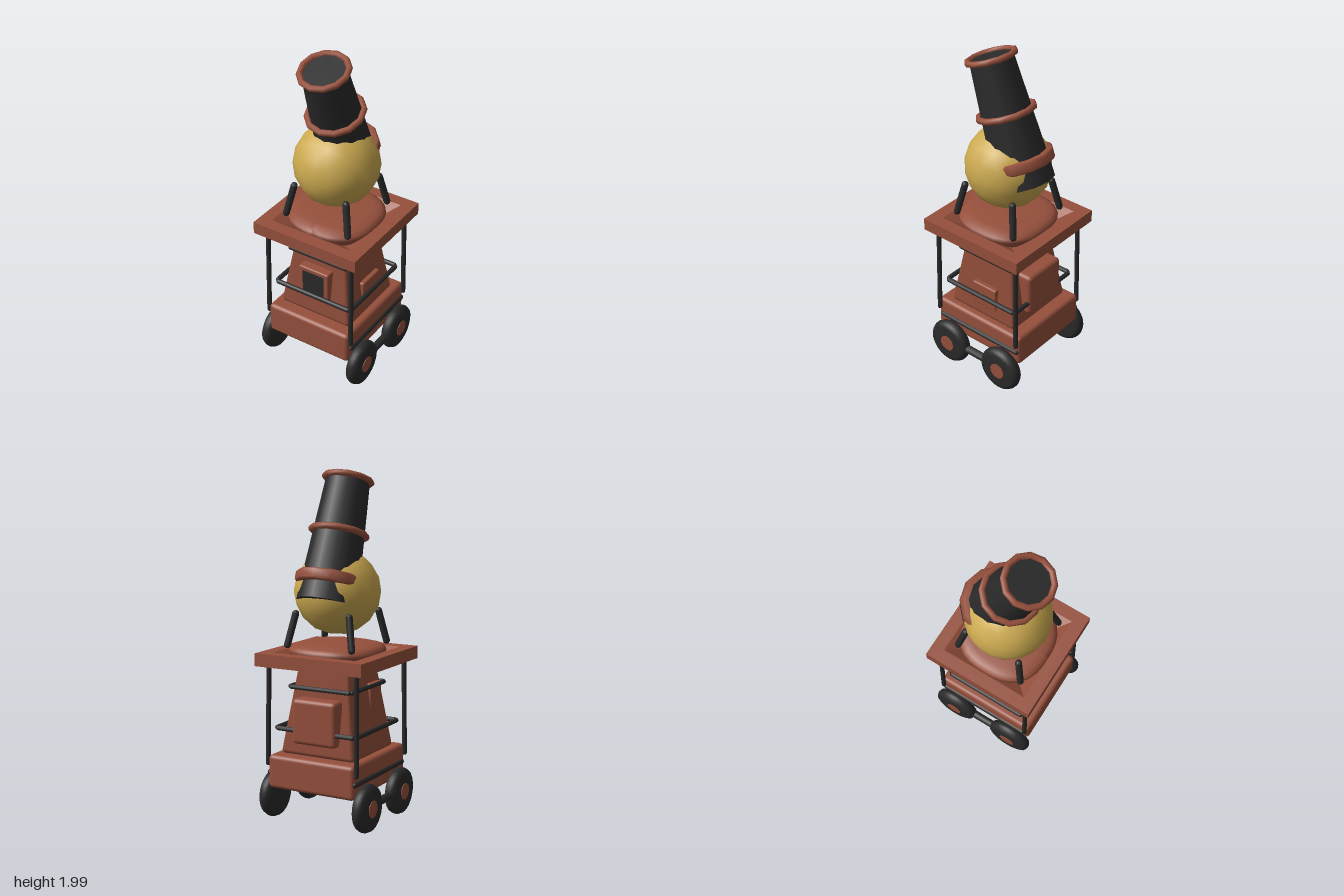
import * as THREE from 'three';
import { RoundedBoxGeometry } from 'three/addons/geometries/RoundedBoxGeometry.js';

const rust = new THREE.MeshStandardMaterial({ color: 0x96503c });
rust.name = 'rustRed';
const iron = new THREE.MeshStandardMaterial({ color: 0x2a2a2a });
iron.name = 'darkIron';
const brass = new THREE.MeshStandardMaterial({ color: 0xccaa50 });
brass.name = 'brass';

function add(parent, name, geometry, material, x = 0, y = 0, z = 0) {
  const mesh = new THREE.Mesh(geometry, material);
  mesh.name = name;
  mesh.position.set(x, y, z);
  parent.add(mesh);
  return mesh;
}

const roundedBox = (w, h, d, r) => new RoundedBoxGeometry(w, h, d, 3, r);

// Rounded rod between two points
function rod(parent, name, a, b, r) {
  const from = new THREE.Vector3(...a), to = new THREE.Vector3(...b);
  const dir = to.clone().sub(from);
  const mesh = add(parent, name, new THREE.CapsuleGeometry(r, dir.length() - 2 * r, 3, 10), iron);
  mesh.position.copy(from).add(to).multiplyScalar(0.5);
  mesh.quaternion.setFromUnitVectors(new THREE.Vector3(0, 1, 0), dir.normalize());
}

// Tower body: a rounded box narrowed towards the top
function towerGeometry() {
  const g = roundedBox(0.48, 0.54, 0.48, 0.025);
  const p = g.attributes.position;
  for (let i = 0; i < p.count; i++) {
    const k = 1 - 0.34 * (p.getY(i) / 0.54 + 0.5);
    p.setX(i, p.getX(i) * k);
    p.setZ(i, p.getZ(i) * k);
  }
  return g;
}

// Low pillow with a squarish outline
function pillowGeometry() {
  const profile = [[0.235, 0.93], [0.262, 0.975], [0.257, 0.995], [0.235, 1.01], [0.195, 1.02], [0.1, 1.024], [0, 1.025]];
  const g = new THREE.LatheGeometry(profile.map(([r, y]) => new THREE.Vector2(r, y)), 32);
  const p = g.attributes.position, n = 2.6;
  for (let i = 0; i < p.count; i++) {
    const x = p.getX(i), z = p.getZ(i), r = Math.hypot(x, z);
    if (r < 1e-6) continue;
    const k = Math.pow(Math.abs(x / r) ** n + Math.abs(z / r) ** n, -1 / n);
    p.setX(i, x * k);
    p.setZ(i, z * k);
  }
  g.computeVertexNormals();
  return g;
}

function addDeck(model) {
  // Square frame with an opening
  const h = 0.34, o = 0.265;
  const shape = new THREE.Shape([[-h, -h], [h, -h], [h, h], [-h, h]].map(([x, y]) => new THREE.Vector2(x, y)));
  shape.holes.push(new THREE.Path([[-o, -o], [-o, o], [o, o], [o, -o]].map(([x, y]) => new THREE.Vector2(x, y))));
  const frame = new THREE.ExtrudeGeometry(shape, { depth: 0.073, bevelEnabled: false });
  frame.rotateX(-Math.PI / 2);
  add(model, 'deckFrame', frame, rust, 0, 0.906, 0);
  add(model, 'deckFloor', new THREE.BoxGeometry(0.53, 0.012, 0.53), rust, 0, 0.912, 0);
  // Sloping recess walls, facing inward
  const s = Math.SQRT2;
  let walls = new THREE.CylinderGeometry(0.265 * s, 0.18 * s, 0.06, 4, 1, true);
  walls.rotateY(Math.PI / 4).scale(-1, 1, 1);
  walls = walls.toNonIndexed();
  walls.computeVertexNormals();
  add(model, 'recessWalls', walls, rust, 0, 0.949, 0);
  add(model, 'deckPillow', pillowGeometry(), rust);
}

function addWheel(model, side, z) {
  const wheel = new THREE.Group();
  wheel.name = 'wheel';
  const profile = [[0, -0.037], [0.105, -0.037], [0.128, -0.027], [0.137, -0.008], [0.137, 0.008], [0.128, 0.027], [0.105, 0.037], [0, 0.037]];
  add(wheel, 'tyre', new THREE.LatheGeometry(profile.map(([r, y]) => new THREE.Vector2(r, y)), 32), iron);
  add(wheel, 'hub', new THREE.CylinderGeometry(0.049, 0.049, 0.008, 20), rust, 0, 0.036, 0);
  wheel.rotation.z = -side * Math.PI / 2;
  wheel.position.set(side * 0.302, 0.14, z);
  model.add(wheel);
}

function addCannon(model) {
  const cannon = new THREE.Group();
  cannon.name = 'cannon';
  cannon.position.set(0, 1.935, 0.12);
  cannon.rotation.x = 0.341;
  add(cannon, 'barrel', new THREE.CylinderGeometry(0.125, 0.172, 0.72, 12), iron, 0, -0.36, 0);
  // Muzzle and middle rings
  for (const [name, r, tube, y] of [['muzzleRing', 0.133, 0.018, 0], ['middleRing', 0.156, 0.019, -0.312]]) {
    add(cannon, name, new THREE.TorusGeometry(r, tube, 8, 12).rotateX(Math.PI / 2), rust, 0, y, 0);
  }
  // Broad breech band
  const band = [[0.16, -0.032], [0.19, -0.032], [0.2, -0.02], [0.2, 0.02], [0.19, 0.032], [0.15, 0.032]];
  add(cannon, 'breechBand', new THREE.LatheGeometry(band.map(([r, y]) => new THREE.Vector2(r, y)), 12), rust, 0, -0.59, 0);
  model.add(cannon);
}

export function createModel() {
  const model = new THREE.Group();
  model.name = 'cannonTower';

  // Carriage and tower
  add(model, 'carriage', roundedBox(0.555, 0.195, 0.625, 0.025), rust, 0, 0.3, 0);
  add(model, 'tower', towerGeometry(), rust, 0, 0.665, 0);
  addDeck(model);

  // Front hatch, back locker and side panels
  add(model, 'hatchFrame', roundedBox(0.2, 0.21, 0.08, 0.01), rust, 0, 0.615, 0.206);
  add(model, 'hatchWindow', new THREE.BoxGeometry(0.14, 0.14, 0.008), iron, 0, 0.625, 0.248);
  add(model, 'backLocker', roundedBox(0.28, 0.26, 0.11, 0.025), rust, 0, 0.6, -0.222);
  add(model, 'leftPanel', roundedBox(0.07, 0.15, 0.175, 0.01), rust, 0.2, 0.535, -0.012);
  add(model, 'rightPanel', roundedBox(0.06, 0.17, 0.13, 0.01), rust, -0.175, 0.71, 0.09);

  // Rails around the tower
  for (const [y, r, d] of [[0.78, 0.013, 0.2], [0.545, 0.014, 0.255]]) {
    for (const s of [-1, 1]) {
      rod(model, 'rail', [-d, y, s * d], [d, y, s * d], r);
      rod(model, 'rail', [s * d, y, -d], [s * d, y, d], r);
    }
  }

  for (const sx of [-1, 1]) {
    rod(model, 'carriageRail', [sx * 0.275, 0.292, -0.305], [sx * 0.275, 0.292, 0.29], 0.016);
    rod(model, 'wheelLink', [sx * 0.3, 0.14, -0.2], [sx * 0.3, 0.14, 0.2], 0.024);
    for (const sz of [-1, 1]) {
      addWheel(model, sx, sz * 0.196);
      rod(model, 'post', [sx * 0.287, 0.33, sz * 0.293], [sx * 0.28, 0.93, sz * 0.284], 0.014);
      rod(model, 'sphereLeg', [sx * 0.21, 1.0, sz * 0.21], [sx * 0.168, 1.215, sz * 0.168], 0.02);
    }
  }

  // Brass ball mount and cannon
  add(model, 'ballMount', new THREE.IcosahedronGeometry(0.247, 2), brass, 0, 1.315, 0);
  addCannon(model);
  return model;
}
